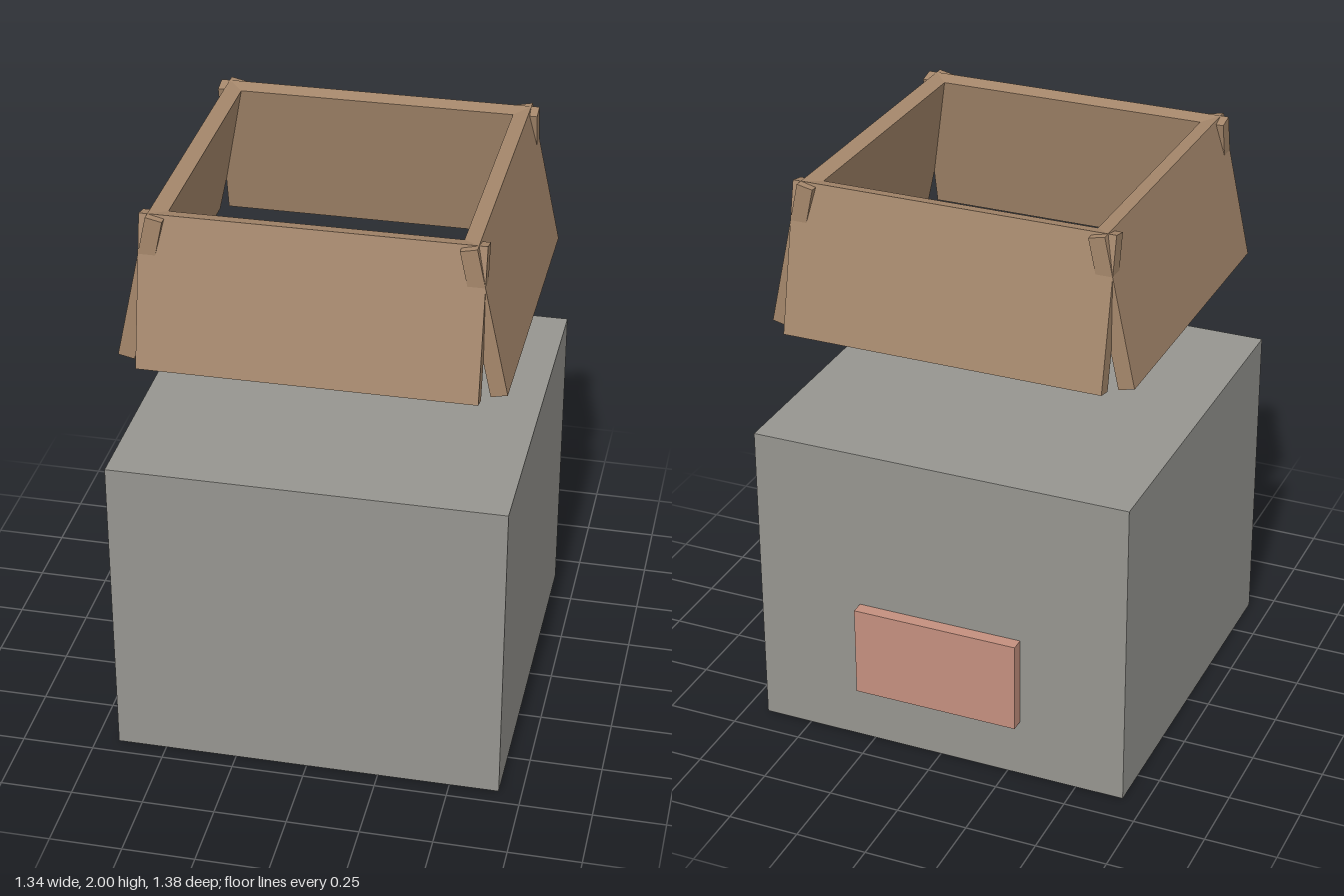
import * as THREE from 'three';

const material = (name, color) => {
  const m = new THREE.MeshStandardMaterial({ color });
  m.name = name;
  return m;
};

function box(name, size, position, mat) {
  const mesh = new THREE.Mesh(new THREE.BoxGeometry(...size), mat);
  mesh.name = name;
  mesh.position.set(...position);
  return mesh;
}

export function createModel() {
  const grey = material('warm grey', 0x969590);
  const wood = material('wood brown', 0xa5876b);
  const clay = material('clay pink', 0xc4907f);

  const model = new THREE.Group();
  model.name = 'floatingCollarBlock';

  // Solid block with a plate on its back
  model.add(box('block', [1.342, 1.116, 1.336], [0, 0.558, 0.023], grey));
  model.add(box('backPlate', [0.59, 0.325, 0.046], [0, 0.373, -0.668], clay));

  // Floating collar: four slabs that flare outward towards the bottom
  const collar = new THREE.Group();
  collar.name = 'collar';
  collar.position.set(0, 1.7415, 0.023);
  const flare = THREE.MathUtils.degToRad(12.2);
  ['front', 'left', 'back', 'right'].forEach((side, i) => {
    const pivot = new THREE.Group();
    pivot.name = side + 'Side';
    pivot.rotation.y = i * Math.PI / 2;
    const panel = box(side + 'Panel', [1.116, 0.517, 0.056], [0, 0, 0.557], wood);
    panel.rotation.x = -flare;
    pivot.add(panel);
    collar.add(pivot);
  });
  model.add(collar);

  return model;
}
